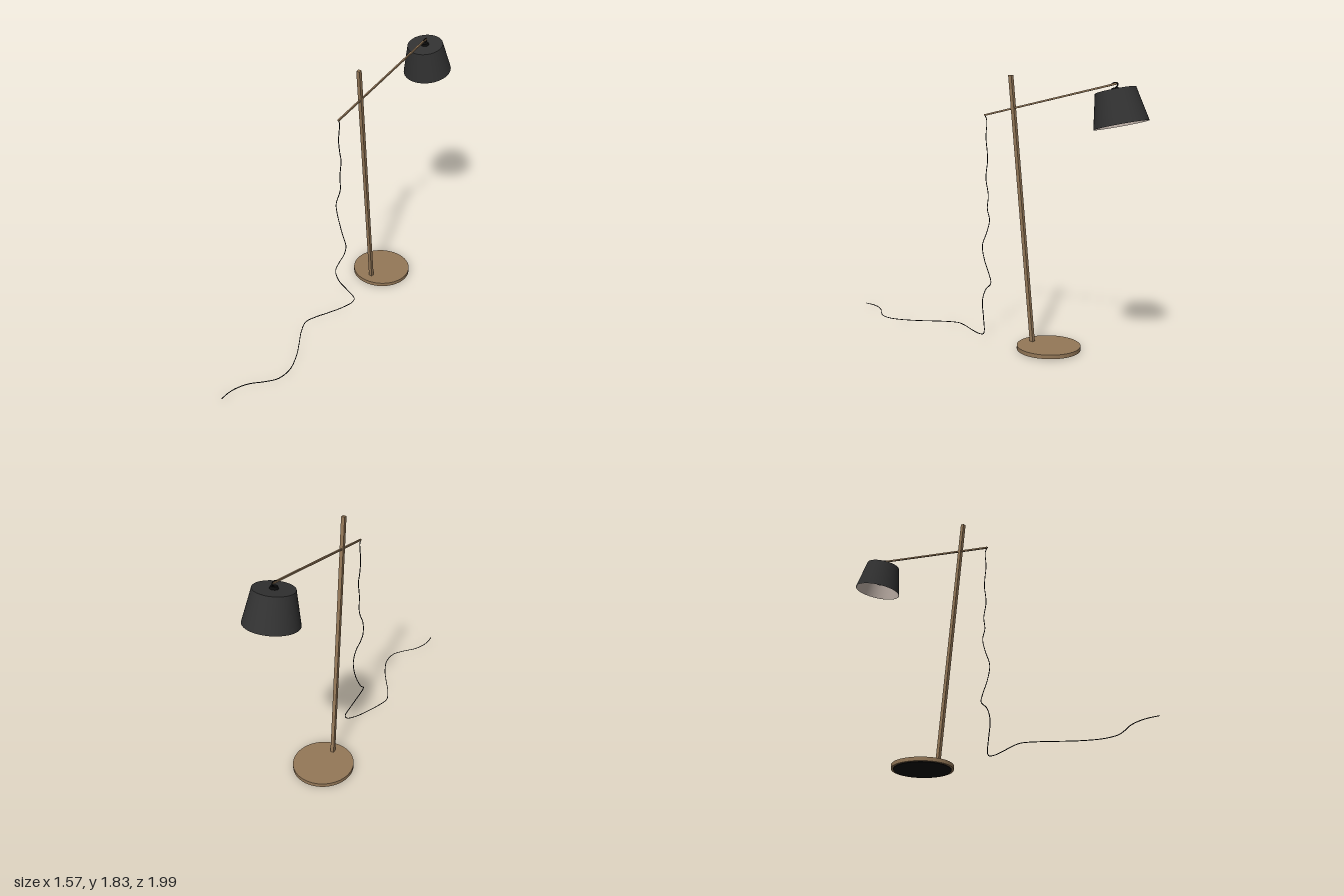
import * as THREE from 'three';

const wood = new THREE.MeshStandardMaterial({ name: 'wood', color: 0x947858 });
const black = new THREE.MeshStandardMaterial({ name: 'black', color: 0x0c0c0c });
const charcoal = new THREE.MeshStandardMaterial({ name: 'charcoal', color: 0x323232, side: THREE.DoubleSide });
const lining = new THREE.MeshStandardMaterial({ name: 'warm white lining', color: 0xcfc0b6, side: THREE.DoubleSide });
const glass = new THREE.MeshStandardMaterial({ name: 'bulb glass', color: 0xc4c0ba });

function part(parent, name, geometry, material, x = 0, y = 0, z = 0) {
  const mesh = new THREE.Mesh(geometry, material);
  mesh.name = name;
  mesh.position.set(x, y, z);
  parent.add(mesh);
  return mesh;
}

// Square bar between two points (s, y) of the lamp's vertical plane
function bar(parent, name, a, b, thickness, width) {
  const ds = b[0] - a[0], dy = b[1] - a[1];
  const geometry = new THREE.BoxGeometry(Math.hypot(ds, dy), thickness, width);
  const mesh = part(parent, name, geometry, wood, (a[0] + b[0]) / 2, (a[1] + b[1]) / 2);
  mesh.rotation.z = Math.atan2(dy, ds);
}

function tube(parent, name, points, segments, radius) {
  const curve = new THREE.CatmullRomCurve3(points.map(p => new THREE.Vector3(...p)));
  return part(parent, name, new THREE.TubeGeometry(curve, segments, radius, 6), black);
}

function createShade() {
  const shade = new THREE.Group();
  shade.name = 'shade';
  const h = 0.216, rTop = 0.127, rBottom = 0.172, gap = 0.003;
  // Outer shell with its lid
  part(shade, 'shadeWall', new THREE.CylinderGeometry(rTop, rBottom, h, 64, 1, true), charcoal, 0, h / 2);
  part(shade, 'shadeLid', new THREE.CircleGeometry(rTop, 64).rotateX(-Math.PI / 2), charcoal, 0, h);
  // Pale lining and ceiling
  part(shade, 'liningWall', new THREE.CylinderGeometry(rTop - gap, rBottom - gap, h - gap, 64, 1, true), lining, 0, (h - gap) / 2);
  part(shade, 'liningCeiling', new THREE.CircleGeometry(rTop - gap, 64).rotateX(Math.PI / 2), lining, 0, h - gap);
  // Cap, socket and bulb
  part(shade, 'cap', new THREE.CylinderGeometry(0.022, 0.027, 0.016, 32), black, 0, h + 0.008);
  part(shade, 'socket', new THREE.CylinderGeometry(0.022, 0.022, 0.06, 24), black, 0, h - 0.035);
  const bulb = [[0, 0], [0.02, 0.005], [0.036, 0.02], [0.042, 0.042], [0.036, 0.065], [0.023, 0.09], [0.018, 0.11]];
  part(shade, 'bulb', new THREE.LatheGeometry(bulb.map(p => new THREE.Vector2(...p)), 32), glass, 0, 0.055);
  return shade;
}

export function createModel() {
  const model = new THREE.Group();
  model.name = 'floorLamp';

  // Everything rigid lies in one vertical plane; local x runs along the arm
  const lamp = new THREE.Group();
  lamp.name = 'lamp';
  lamp.position.set(-0.03, 0, 0.03);
  lamp.rotation.y = Math.atan2(0.798, 0.603);
  model.add(lamp);

  // Round base with a black pad underneath
  part(lamp, 'base', new THREE.CylinderGeometry(0.214, 0.214, 0.027, 96), wood, 0.55, 0.0175);
  part(lamp, 'basePad', new THREE.CylinderGeometry(0.198, 0.198, 0.006, 96), black, 0.55, 0.003);

  // Leaning pole and the arm through it
  bar(lamp, 'pole', [0.416, 0.02], [0.222, 1.825], 0.025, 0.025);
  bar(lamp, 'arm', [0, 1.553], [1.03, 1.778], 0.011, 0.011);

  // Tilted shade under the tip of the arm
  const shade = createShade();
  shade.position.set(1.068, 1.527, 0);
  shade.rotation.z = 0.22;
  lamp.add(shade);

  // Short loop of cable from the arm tip into the cap
  tube(lamp, 'tipLoop', [[0.985, 1.769, 0], [1.015, 1.784, 0], [1.036, 1.78, 0], [1.034, 1.765, 0], [1.019, 1.75, 0]], 24, 0.004);

  // Cable hanging from the arm and trailing along the floor
  tube(model, 'cable', [
    [-0.03, 1.553, 0.03], [-0.022, 1.53, 0.018], [-0.022, 1.5, 0.015], [-0.028, 1.4, 0.021], [-0.02, 1.3, 0.012],
    [-0.012, 1.24, 0.01], [-0.02, 1.12, 0.021], [-0.018, 1.0, 0.005], [-0.045, 0.9, 0.012],
    [-0.042, 0.82, -0.003], [-0.025, 0.74, 0.015], [0, 0.65, 0.045], [0.022, 0.55, 0.03],
    [0.01, 0.45, 0], [-0.025, 0.37, -0.012], [-0.052, 0.32, 0.025], [-0.03, 0.25, 0.046],
    [0.035, 0.15, 0.038], [0.085, 0.065, 0.03], [0.07, 0.035, 0.036], [0, 0.014, 0.07],
    [-0.1, 0.009, 0.123], [-0.2, 0.012, 0.18], [-0.268, 0.013, 0.235], [-0.297, 0.013, 0.35],
    [-0.305, 0.013, 0.46], [-0.32, 0.013, 0.6], [-0.36, 0.013, 0.73], [-0.43, 0.013, 0.81],
    [-0.52, 0.013, 0.84], [-0.62, 0.013, 0.86], [-0.7, 0.013, 0.9], [-0.75, 0.013, 0.945], [-0.788, 0.013, 0.998],
  ], 300, 0.003);

  return model;
}
